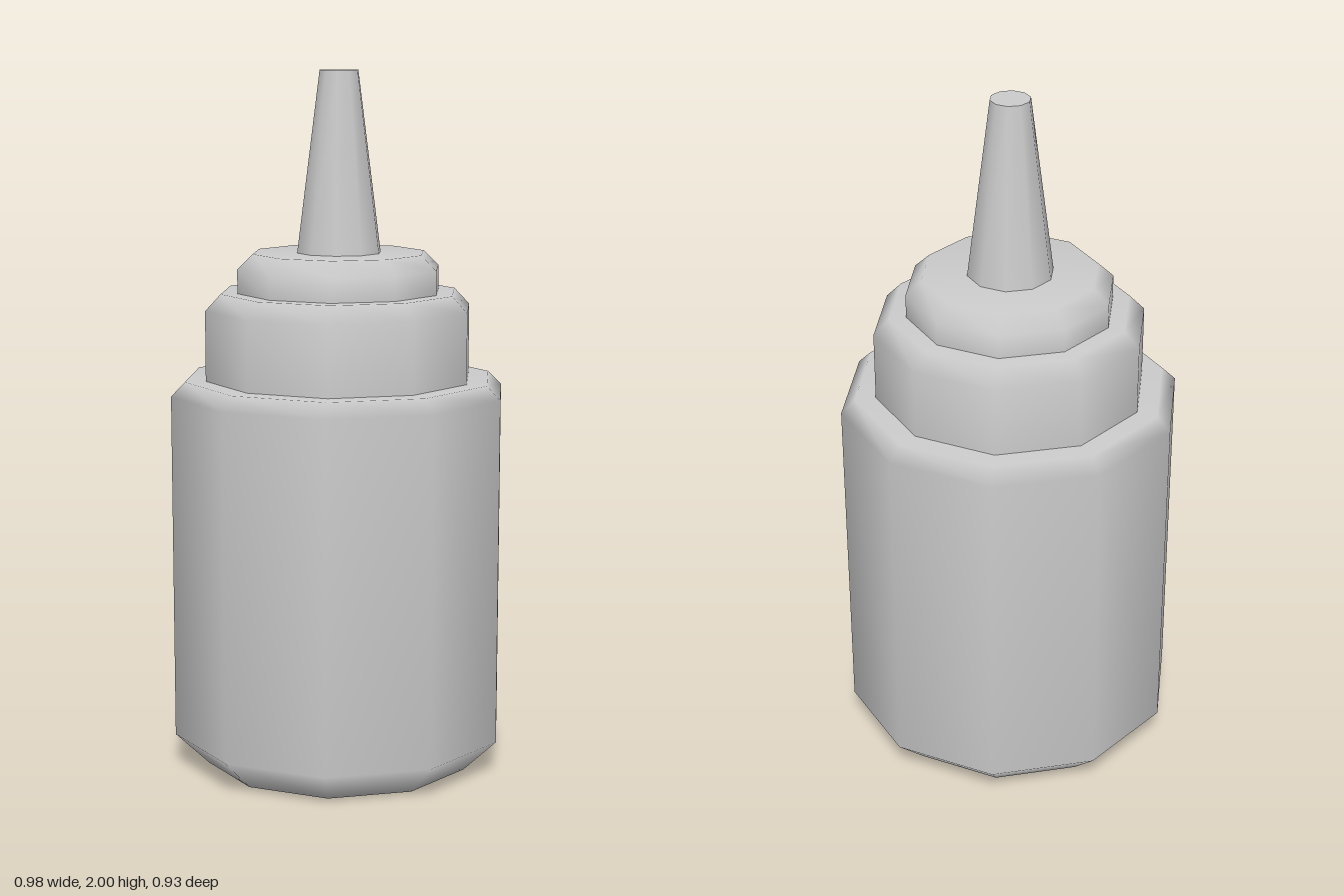
import * as THREE from 'three';

const SIDES = 10;
const START = Math.PI / 2; // puts a corner of each decagon on the x axis

export function createModel() {
  const group = new THREE.Group();
  const material = new THREE.MeshStandardMaterial({ color: 0xcccccc });

  function add(name, geometry, y = 0) {
    const mesh = new THREE.Mesh(geometry, material);
    mesh.name = name;
    mesh.position.y = y;
    group.add(mesh);
  }

  // Smooth ten-sided turned part from [radius, height] pairs, bottom to top
  function turned(name, profile) {
    const points = profile.map(([r, y]) => new THREE.Vector2(r, y));
    add(name, new THREE.LatheGeometry(points, SIDES, START));
  }

  // Squeeze bottle with chamfered base and shoulder
  turned('bottleBody', [[0, 0], [0.39, 0], [0.488, 0.095], [0.488, 1.09], [0.448, 1.13], [0, 1.13]]);

  // Screw cap and the smaller collar on it
  turned('cap', [[0.388, 1.13], [0.388, 1.33], [0.343, 1.377], [0, 1.377]]);
  turned('collar', [[0.295, 1.377], [0.295, 1.445], [0.25, 1.488], [0, 1.488]]);

  // Tapered nozzle with a flat tip
  const bottom = 1.488;
  const height = 2 - bottom;
  add('nozzle', new THREE.CylinderGeometry(0.056, 0.122, height, SIDES, 1, false, START), bottom + height / 2);

  return group;
}
